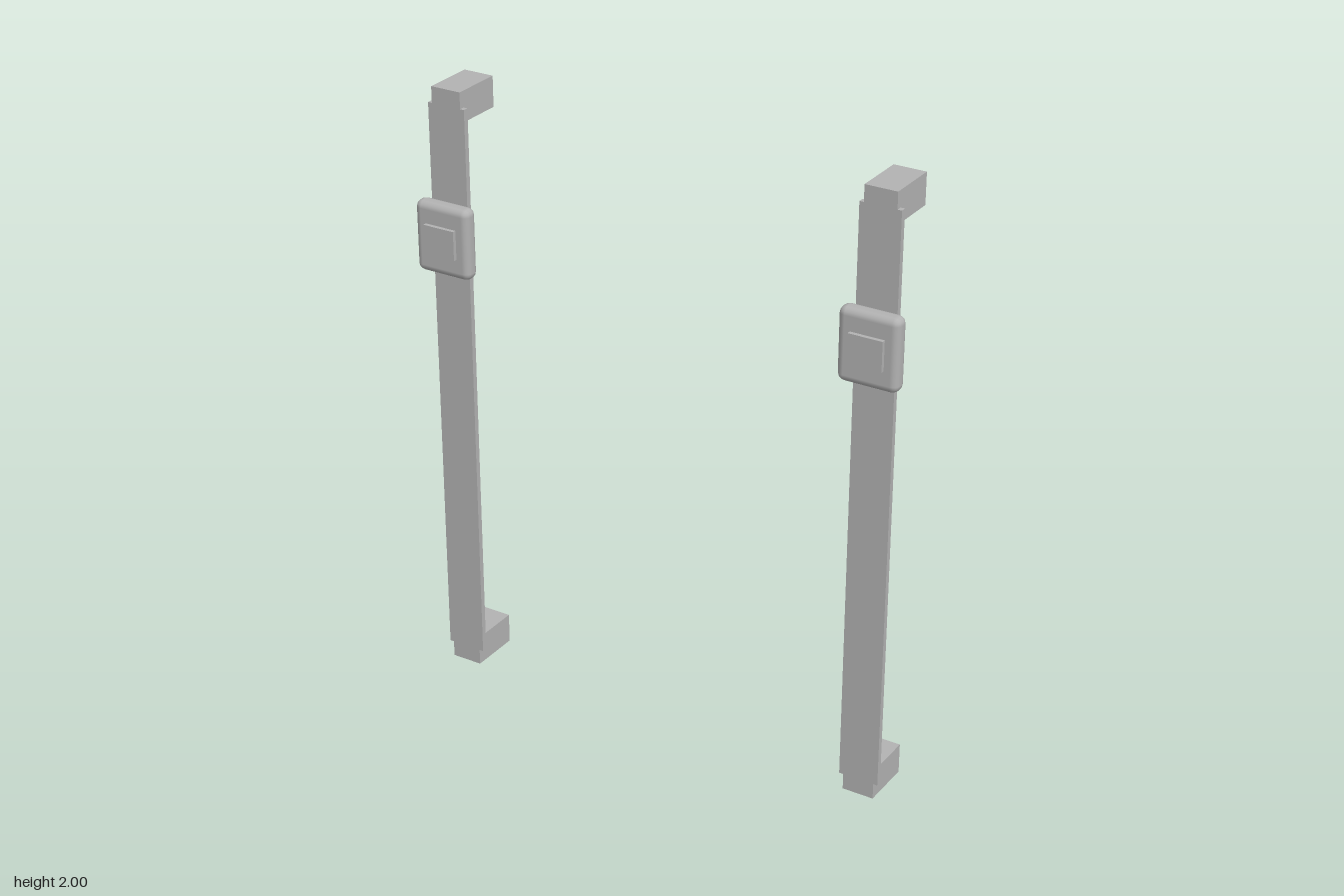
import * as THREE from 'three';
import { RoundedBoxGeometry } from 'three/addons/geometries/RoundedBoxGeometry.js';

const grey = new THREE.MeshStandardMaterial({ color: 0xb2b2b2 });
grey.name = 'grey';

function part(name, geometry, x, y, z) {
  const mesh = new THREE.Mesh(geometry, grey);
  mesh.name = name;
  mesh.position.set(x, y, z);
  return mesh;
}

// One vertical strap with end blocks and a buckle
function createStrap(name) {
  const strap = new THREE.Group();
  strap.name = name;

  // Thin band, flush with the front of the end blocks
  strap.add(part('band', new THREE.BoxGeometry(0.132, 1.894, 0.018), 0, 1, 0.045));

  // Blocks reaching backwards at both ends
  const block = new THREE.BoxGeometry(0.104, 0.1, 0.172);
  strap.add(part('topBlock', block, 0, 1.95, -0.032));
  strap.add(part('bottomBlock', block, 0, 0.05, -0.032));

  // Rounded buckle with a raised square button
  strap.add(part('buckle', new RoundedBoxGeometry(0.197, 0.234, 0.056, 2, 0.024), 0, 1.525, 0.077));
  strap.add(part('button', new THREE.BoxGeometry(0.111, 0.096, 0.03), 0, 1.525, 0.103));
  return strap;
}

export function createModel() {
  const model = new THREE.Group();
  model.name = 'strapPair';
  for (const side of [-1, 1]) {
    const strap = createStrap(side > 0 ? 'leftStrap' : 'rightStrap');
    strap.position.x = side * 0.734;
    model.add(strap);
  }
  return model;
}
